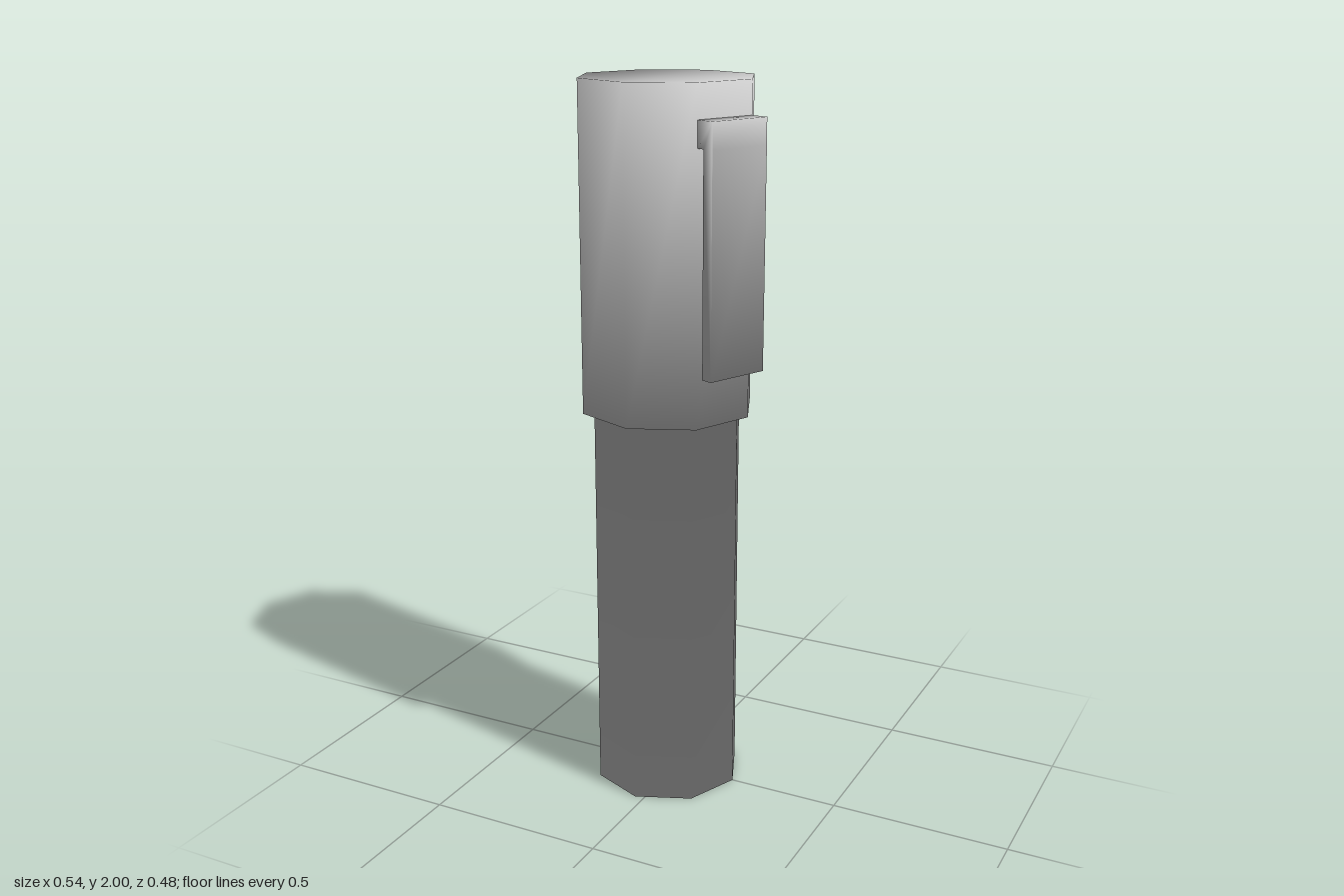
import * as THREE from 'three';
import { mergeVertices } from 'three/addons/utils/BufferGeometryUtils.js';

const SIDES = 8;
const CAP_RADIUS = 0.242;
const GRIP_RADIUS = 0.21;
const CENTER_X = -0.026;

// Smooth normals over every edge, weighting each face by its corner angle
function smoothByAngle(geometry) {
  const { position } = geometry.attributes;
  const index = geometry.index.array;
  const point = (i) => new THREE.Vector3().fromBufferAttribute(position, i);
  const sums = Array.from({ length: position.count }, () => new THREE.Vector3());
  for (let t = 0; t < index.length; t += 3) {
    for (let k = 0; k < 3; k++) {
      const corner = index[t + k];
      const u = point(index[t + (k + 1) % 3]).sub(point(corner));
      const v = point(index[t + (k + 2) % 3]).sub(point(corner));
      const normal = u.clone().cross(v).normalize();
      sums[corner].addScaledVector(normal, u.angleTo(v));
    }
  }
  const normals = sums.flatMap((n) => n.normalize().toArray());
  geometry.setAttribute('normal', new THREE.Float32BufferAttribute(normals, 3));
  return geometry;
}

// Closed prism through rings of [radius, height], with flat ends
function ringSolid(rings) {
  const positions = [];
  const index = [];
  for (const [r, y] of rings) {
    for (let i = 0; i < SIDES; i++) {
      const a = (i / SIDES) * Math.PI * 2;
      positions.push(r * Math.sin(a), y, r * Math.cos(a));
    }
  }
  for (let k = 0; k < rings.length - 1; k++) {
    for (let i = 0; i < SIDES; i++) {
      const a = k * SIDES + i;
      const b = k * SIDES + (i + 1) % SIDES;
      index.push(a, b, b + SIDES, a, b + SIDES, a + SIDES);
    }
  }
  const top = (rings.length - 1) * SIDES;
  for (let i = 1; i < SIDES - 1; i++) {
    index.push(0, i + 1, i, top, top + i, top + i + 1);
  }
  const geometry = new THREE.BufferGeometry();
  geometry.setAttribute('position', new THREE.Float32BufferAttribute(positions, 3));
  geometry.setIndex(index);
  return geometry;
}

export function createModel() {
  const model = new THREE.Group();
  model.name = 'clipPen';
  const material = new THREE.MeshStandardMaterial({ color: 0xcccccc });

  // Octagonal barrel: slim grip below, wider cap above
  const barrelGeometry = ringSolid([
    [GRIP_RADIUS, 0], [GRIP_RADIUS, 1.11], [CAP_RADIUS, 1.11], [CAP_RADIUS, 2],
  ]);
  const barrel = new THREE.Mesh(smoothByAngle(barrelGeometry), material);
  barrel.name = 'barrel';
  barrel.position.x = CENTER_X;
  model.add(barrel);

  // Pocket clip: L-shaped section spanning one face of the cap
  const half = Math.PI / SIDES;
  const face = CAP_RADIUS * Math.cos(half);
  const width = 2 * CAP_RADIUS * Math.sin(half);
  const section = new THREE.Shape([
    [0, 1.84], [0.022, 1.84], [0.022, 1.25],
    [0.055, 1.25], [0.0555, 1.84], [0.055, 1.91], [0, 1.91],
  ].map(([d, y]) => new THREE.Vector2(face + d, y)));
  const extruded = new THREE.ExtrudeGeometry(section, { depth: width, bevelEnabled: false });
  extruded.translate(0, 0, -width / 2);
  extruded.deleteAttribute('normal');
  extruded.deleteAttribute('uv');
  const clip = new THREE.Mesh(smoothByAngle(mergeVertices(extruded)), material);
  clip.name = 'pocketClip';
  clip.position.x = CENTER_X;
  clip.rotation.y = -half;
  model.add(clip);

  return model;
}
